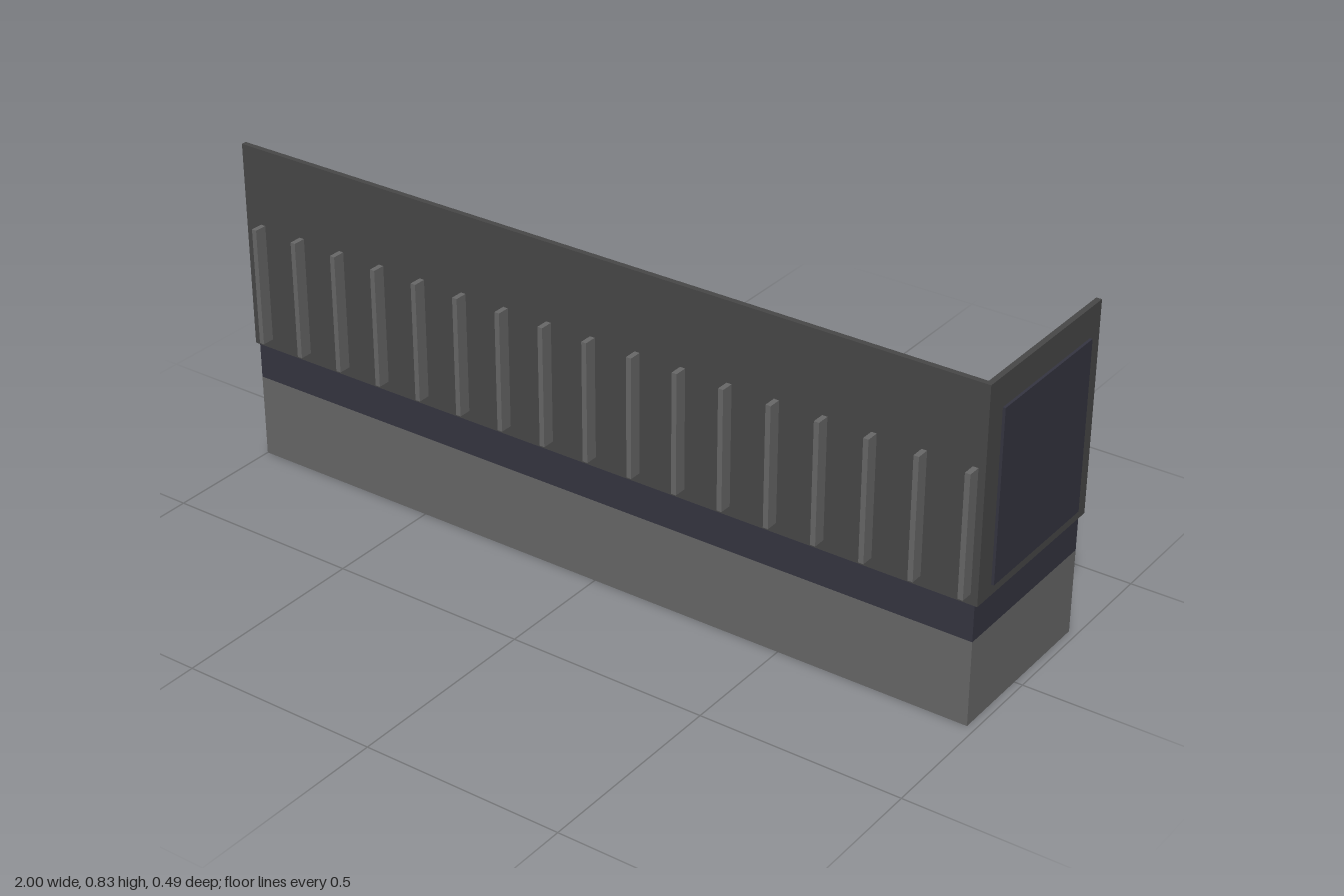
import * as THREE from 'three';

const mat = (color, side = THREE.FrontSide) => new THREE.MeshStandardMaterial({ color, side });

// Main dimensions
const LEFT = 0.98, RIGHT = -1, FRONT = 0.202, BACK = -0.245;
const BASE_TOP = 0.212, BAND_TOP = 0.311, WALL_TOP = 0.832, THICK = 0.0135;

export function createModel() {
  const model = new THREE.Group();
  const add = (name, geometry, material, x, y, z, parent = model) => {
    const mesh = new THREE.Mesh(geometry, material);
    mesh.name = name;
    mesh.position.set(x, y, z);
    parent.add(mesh);
    return mesh;
  };

  // Thin L-shaped strip: a long front sheet and a short side sheet
  const strip = (name, y0, y1, color) => {
    const group = new THREE.Group();
    group.name = name;
    const m = mat(color, THREE.DoubleSide);
    const h = y1 - y0, y = (y0 + y1) / 2;
    add(name + 'Front', new THREE.PlaneGeometry(LEFT - RIGHT, h), m, (LEFT + RIGHT) / 2, y, FRONT, group);
    add(name + 'Side', new THREE.PlaneGeometry(FRONT - BACK, h), m, LEFT, y, (FRONT + BACK) / 2, group)
      .rotation.y = Math.PI / 2;
    model.add(group);
  };
  strip('base', 0, BASE_TOP, 0x686868);
  strip('band', BASE_TOP, BAND_TOP, 0x353541);

  // Upper wall: L-shaped plan extruded upwards, overhanging the base
  const plan = new THREE.Shape([
    [RIGHT, -FRONT - THICK], [LEFT + THICK, -FRONT - THICK], [LEFT + THICK, -BACK],
    [LEFT, -BACK], [LEFT, -FRONT], [RIGHT, -FRONT],
  ].map(([x, y]) => new THREE.Vector2(x, y)));
  const wall = new THREE.ExtrudeGeometry(plan, { depth: WALL_TOP - BAND_TOP, bevelEnabled: false });
  wall.rotateX(-Math.PI / 2);
  add('upperWall', wall, mat(0x484848), 0, BAND_TOP, 0);

  // Inset-coloured panel on the short side
  add('sidePanel', new THREE.BoxGeometry(0.008, 0.42, 0.364), mat(0x353541), 0.996, 0.548, -0.021);

  // Row of vertical fins passing through the front wall
  const finGeometry = new THREE.BoxGeometry(0.013, 0.3, 0.046);
  const finMaterial = mat(0x686868);
  const fins = new THREE.Group();
  fins.name = 'fins';
  for (let i = 0; i < 17; i++) {
    add('fin', finGeometry, finMaterial, -0.95 + i * 0.12, 0.487, 0.2243, fins);
  }
  model.add(fins);

  return model;
}
